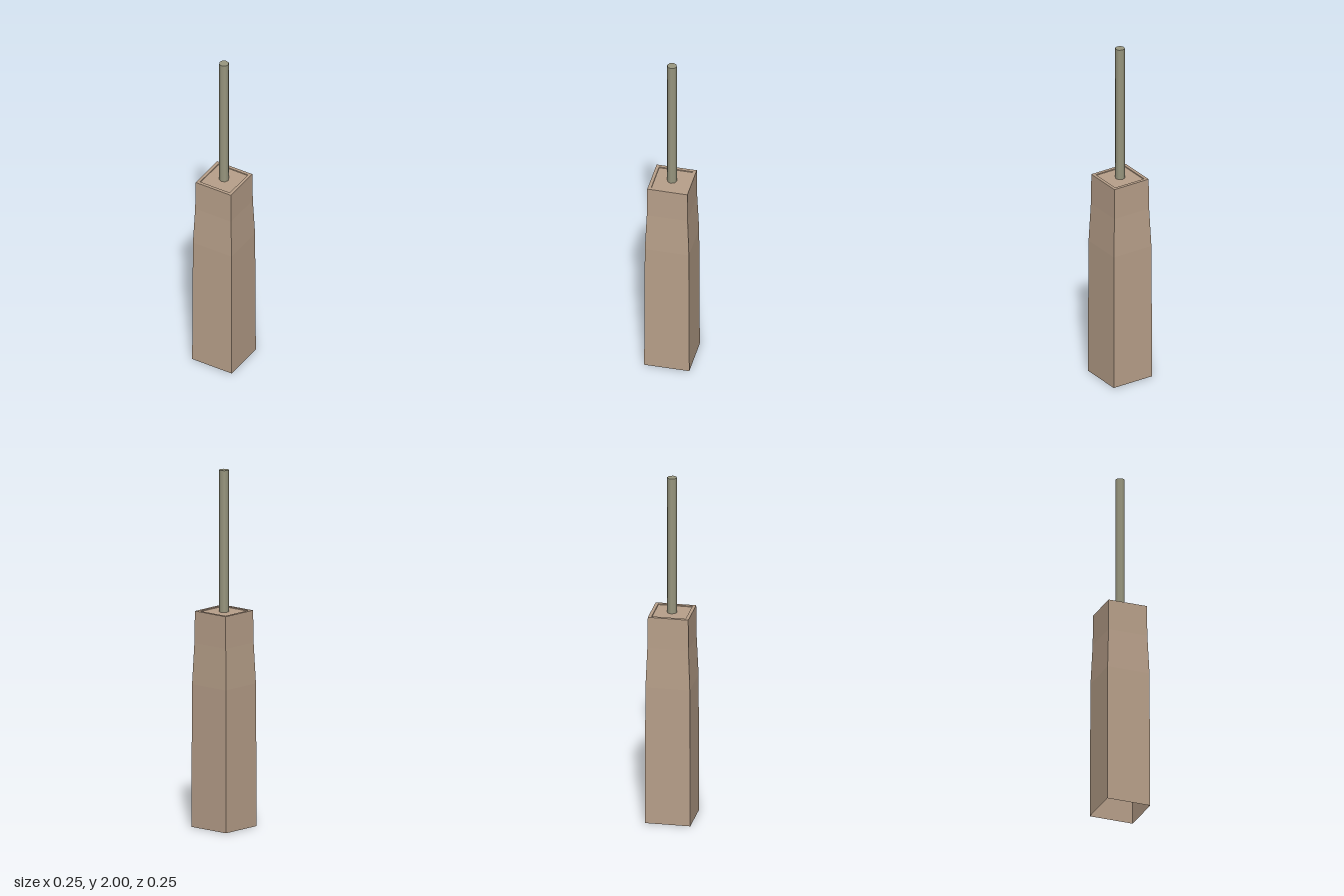
import * as THREE from 'three';

// Stack of square rings [halfWidth, y] joined into flat walls; the last ring can be capped.
function squareLoft(rings, cap) {
  const pos = [];
  const corner = ([r, y], i) => {
    const a = Math.PI / 4 + (i * Math.PI) / 2;
    return [Math.SQRT2 * r * Math.sin(a), y, Math.SQRT2 * r * Math.cos(a)];
  };
  for (let k = 0; k < rings.length - 1; k++) {
    for (let i = 0; i < 4; i++) {
      const a = corner(rings[k], i), b = corner(rings[k], i + 1);
      const c = corner(rings[k + 1], i + 1), d = corner(rings[k + 1], i);
      pos.push(...a, ...b, ...c, ...a, ...c, ...d);
    }
  }
  if (cap) {
    const [a, b, c, d] = [0, 1, 2, 3].map((i) => corner(rings[rings.length - 1], i));
    pos.push(...a, ...b, ...c, ...a, ...c, ...d);
  }
  const geo = new THREE.BufferGeometry();
  geo.setAttribute('position', new THREE.Float32BufferAttribute(pos, 3));
  geo.computeVertexNormals();
  return geo;
}

export function createModel() {
  const group = new THREE.Group();
  const add = (name, geo, mat) => {
    const mesh = new THREE.Mesh(geo, mat);
    mesh.name = name;
    group.add(mesh);
    return mesh;
  };
  const tan = new THREE.MeshStandardMaterial({ color: 0xb8a08a, side: THREE.DoubleSide });
  const metal = new THREE.MeshStandardMaterial({ color: 0x99977f });

  // Square sleeve, open underneath, narrowing at the shoulder
  add('handle', squareLoft([[0.127, 0], [0.124, 0.8], [0.115, 1.03], [0.113, 1.21]], false), tan);

  // Top face with a narrow rim around a very shallow recess
  add('handleTop', squareLoft([[0.113, 1.21], [0.095, 1.21], [0.094, 1.205]], true), tan);

  // Eight-sided rod rising from the top
  const rod = add('rod', new THREE.CylinderGeometry(0.027, 0.027, 0.8, 8), metal);
  rod.position.y = 1.6;

  return group;
}
